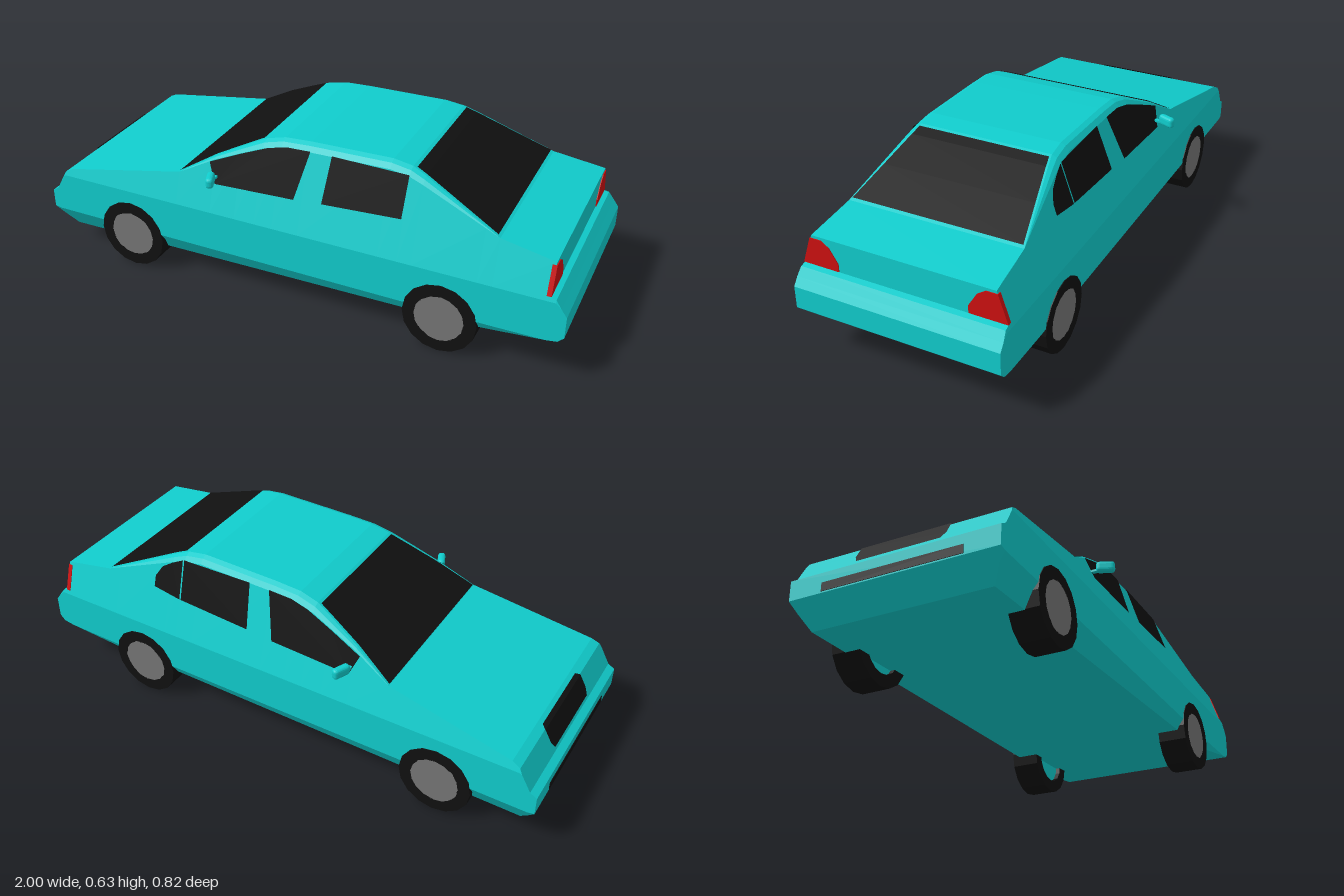
import * as THREE from 'three';
import { RoundedBoxGeometry } from 'three/addons/geometries/RoundedBoxGeometry.js';

const mat = (color) => new THREE.MeshStandardMaterial({ color, flatShading: true, side: THREE.DoubleSide });
const paint = mat(0x10cccc), black = mat(0x101010), grey = mat(0x757575), red = mat(0xcc1010);

// Upper and lower outlines of the body, nose at -x
const TOP = [[-1, 0.235], [-0.975, 0.25], [-0.94, 0.312], [-0.93, 0.33], [-0.9, 0.345], [-0.44, 0.43], [-0.3, 0.513],
  [-0.2, 0.562], [-0.12, 0.6], [-0.05, 0.617], [0.05, 0.622], [0.35, 0.627], [0.42, 0.617], [0.47, 0.597],
  [0.75, 0.47], [0.94, 0.44], [0.94, 0.33], [0.96, 0.325], [0.98, 0.297], [1, 0.27]];
const BOTTOM = [[-1, 0.165], [-0.94, 0.075], [0.7, 0.125], [0.98, 0.17], [1, 0.19]];

function sample(line, x) {
  for (let i = 1; i < line.length; i++) {
    const [x0, y0] = line[i - 1], [x1, y1] = line[i];
    if (x <= x1) return THREE.MathUtils.mapLinear(x, x0, x1, y0, y1);
  }
  return line[line.length - 1][1];
}
// Half width of the side at a height, leaning inward above the shoulder
const halfWidth = (y) => 0.372 - Math.max(0, y - 0.315) * 0.333;
// How far the roof edge is rounded at x
const rounding = (x) => THREE.MathUtils.clamp(Math.min((x + 0.44) / 0.32, (0.75 - x) / 0.33), 0, 1);
const topHalf = (x, t) => halfWidth(t - 0.025 * rounding(x)) - 0.032 * rounding(x);

function mesh(name, geometry, material) {
  const m = new THREE.Mesh(geometry, material);
  m.name = name;
  return m;
}

function buffer(positions, index) {
  const g = new THREE.BufferGeometry();
  g.setAttribute('position', new THREE.Float32BufferAttribute(positions, 3));
  g.setIndex(index);
  g.computeVertexNormals();
  return g;
}

// Body lofted through cross-sections along its length
function bodyGeometry() {
  const pos = [], idx = [], n = 12;
  const stations = [...TOP, [0.7, sample(TOP, 0.7)]].sort((a, b) => a[0] - b[0]);
  for (const [x, t] of stations) {
    const b = sample(BOTTOM, x), k = rounding(x), sill = Math.max(0.16, b);
    const edge = halfWidth(t - 0.025 * k);
    const half = [
      [b, 0.372 - 0.6 * (sill - b)], [sill, 0.372], [Math.min(0.315, t), 0.372],
      [t - 0.025 * k, edge], [t - 0.008 * k, edge - 0.014 * k], [t, edge - 0.032 * k],
    ];
    for (const [y, z] of half) pos.push(x, y, z);
    for (const [y, z] of half.reverse()) pos.push(x, y, -z);
  }
  const last = (stations.length - 1) * n;
  for (let s = 0; s < last; s += n) {
    for (let j = 0; j < n; j++) {
      const k = (j + 1) % n;
      idx.push(s + j, s + n + j, s + n + k, s + j, s + n + k, s + k);
    }
  }
  for (let j = 1; j < n - 1; j++) idx.push(0, j, j + 1, last, last + j + 1, last + j);
  return buffer(pos, idx);
}

// Panel lying just above the upper outline, given [x, half width] rows
function topPanel(name, rows, lift = 0.003) {
  const pos = [], idx = [];
  rows.forEach(([x, w], i) => {
    const e = 0.004;
    const slope = new THREE.Vector2(-(sample(TOP, x + e) - sample(TOP, x - e)), 2 * e).normalize();
    const px = x + slope.x * lift, y = sample(TOP, x) + slope.y * lift;
    pos.push(px, y, w, px, y, -w);
    if (i) {
      const a = 2 * i - 2;
      idx.push(a, a + 2, a + 3, a, a + 3, a + 1);
    }
  });
  return mesh(name, buffer(pos, idx), black);
}

const glassRows = (xs) => xs.map((x) => [x, topHalf(x, sample(TOP, x)) - 0.006]);
const shapeOf = (points) => new THREE.Shape(points.map(([a, b]) => new THREE.Vector2(a, b)));

// Flat outline in x and y laid onto the leaning side
function sideWindow(name, points, side) {
  const g = new THREE.ShapeGeometry(shapeOf(points));
  const p = g.attributes.position;
  for (let i = 0; i < p.count; i++) p.setZ(i, side * (halfWidth(p.getY(i)) + 0.003));
  if (side < 0) {
    const ids = g.index.array;
    for (let i = 0; i < ids.length; i += 3) [ids[i], ids[i + 1]] = [ids[i + 1], ids[i]];
  }
  g.computeVertexNormals();
  return mesh(name, g, black);
}

function wheel(x, side) {
  const g = new THREE.Group();
  g.name = 'wheel';
  const tyre = [[0.088, 0.268], [0.133, 0.268], [0.133, 0.375], [0.088, 0.375], [0.088, 0.268]]
    .map(([r, z]) => new THREE.Vector2(r, z));
  g.add(mesh('tyre', new THREE.LatheGeometry(tyre, 16).rotateX(Math.PI / 2), black));
  const hub = mesh('hubcap', new THREE.CylinderGeometry(0.09, 0.09, 0.01, 16).rotateX(Math.PI / 2), grey);
  hub.position.z = 0.37;
  const inner = mesh('innerHub', new THREE.CylinderGeometry(0.088, 0.088, 0.01, 16).rotateX(Math.PI / 2), paint);
  inner.position.z = 0.29;
  g.add(hub, inner);
  g.position.set(x, 0.133, 0);
  if (side < 0) g.rotation.y = Math.PI;
  return g;
}

function doorMirror(side) {
  const g = new THREE.Group();
  g.name = 'doorMirror';
  const shell = mesh('mirrorShell', new RoundedBoxGeometry(0.028, 0.04, 0.066, 2, 0.012), paint);
  shell.position.set(-0.283, 0.457, side * 0.378);
  shell.rotation.y = side * -0.4;
  shell.rotation.y *= -1;
  const arm = mesh('mirrorArm', new THREE.BoxGeometry(0.016, 0.008, 0.04), paint);
  arm.position.set(-0.29, 0.447, side * 0.338);
  g.add(shell, arm);
  return g;
}

// Tail lamp outline in z and y, slightly proud of the tail and flank
function tailLamp(side) {
  const outline = [[0.234, 0.332], [0.369, 0.332], [0.336, 0.43], [0.295, 0.43], [0.265, 0.41], [0.234, 0.36]];
  const g = new THREE.ExtrudeGeometry(shapeOf(outline.map(([z, y]) => [-side * z, y])), { depth: 0.016, bevelEnabled: false });
  g.rotateY(Math.PI / 2);
  const m = mesh('tailLamp', g, red);
  m.position.x = 0.927;
  return m;
}

export function createModel() {
  const car = new THREE.Group();
  car.name = 'car';
  car.add(mesh('body', bodyGeometry(), paint));

  // Glass
  car.add(topPanel('windscreen', glassRows([-0.438, -0.3, -0.2, -0.13])));
  car.add(topPanel('rearWindow', glassRows([0.432, 0.47, 0.6, 0.74])));
  const frontDoor = [[-0.29, 0.42], [0.02, 0.432], [0.06, 0.601], [-0.03, 0.598], [-0.1, 0.582], [-0.2, 0.543], [-0.32, 0.492]];
  const rearDoor = [[0.125, 0.44], [0.415, 0.455], [0.42, 0.598], [0.14, 0.602]];
  const quarter = [[0.421, 0.455], [0.535, 0.47], [0.535, 0.51], [0.51, 0.55], [0.47, 0.575], [0.426, 0.596]];
  for (const side of [1, -1]) {
    car.add(sideWindow('frontDoorWindow', frontDoor, side), sideWindow('rearDoorWindow', rearDoor, side));
    car.add(doorMirror(side), tailLamp(side));
    for (const x of [-0.645, 0.58]) car.add(wheel(x, side));
  }
  car.add(sideWindow('quarterWindow', quarter, -1));

  // Grille and lower air intake
  car.add(topPanel('grille', [[-0.968, 0.15], [-0.955, 0.163], [-0.93, 0.163], [-0.915, 0.15]], 0.004));
  const intake = mesh('airIntake', new THREE.BoxGeometry(0.006, 0.03, 0.5), black);
  intake.position.set(-0.999, 0.185, 0);
  car.add(intake);
  return car;
}
